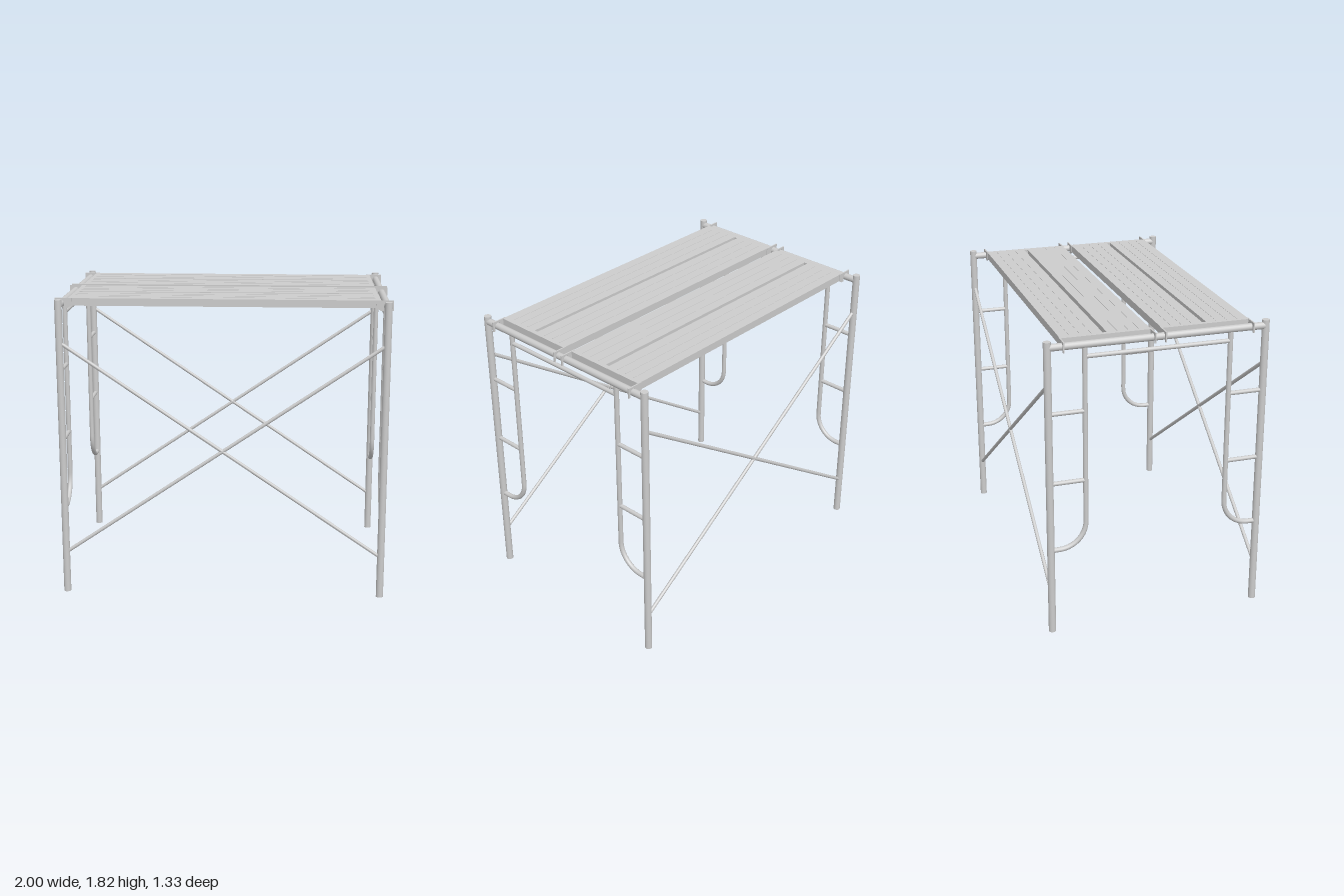
import * as THREE from 'three';

const material = new THREE.MeshStandardMaterial({ color: 0xcccccc });
const thin = new THREE.MeshStandardMaterial({ color: 0xcccccc, side: THREE.DoubleSide });
const POST_X = 0.965, POST_Z = 0.643, TOP = 1.82;
const V = (x, y, z) => new THREE.Vector3(x, y, z);

function add(parent, name, geometry, mat = material) {
  const mesh = new THREE.Mesh(geometry, mat);
  mesh.name = name;
  parent.add(mesh);
  return mesh;
}

// Straight round tube between two points
function pipe(parent, name, a, b, radius, sides = 16) {
  const mesh = add(parent, name, new THREE.CylinderGeometry(radius, radius, a.distanceTo(b), sides));
  mesh.position.copy(a).add(b).multiplyScalar(0.5);
  mesh.quaternion.setFromUnitVectors(V(0, 1, 0), b.clone().sub(a).normalize());
  return mesh;
}

function box(parent, name, w, h, d, x, y, z) {
  const mesh = add(parent, name, new THREE.BoxGeometry(w, h, d));
  mesh.position.set(x, y, z);
  return mesh;
}

// Inner leg: straight down, then a quarter bend out to the post
function innerLegGeometry(side) {
  const path = new THREE.CurvePath();
  const r = 0.16, k = r * 0.5523, z = 0.43, y = 0.54;
  path.add(new THREE.LineCurve3(V(0, 1.785, side * z), V(0, y + r, side * z)));
  path.add(new THREE.CubicBezierCurve3(
    V(0, y + r, side * z), V(0, y + r - k, side * z),
    V(0, y, side * (z + r - k)), V(0, y, side * (z + r))));
  path.add(new THREE.LineCurve3(V(0, y, side * (z + r)), V(0, y, side * POST_Z)));
  return new THREE.TubeGeometry(path, 90, 0.015, 12);
}

// End frame: two posts, cross beams, ladder legs and rungs
function endFrame(x) {
  const frame = new THREE.Group();
  frame.name = 'endFrame';
  frame.position.x = x;
  pipe(frame, 'topBeam', V(0, 1.785, -POST_Z), V(0, 1.785, POST_Z), 0.021);
  pipe(frame, 'lowerBeam', V(0, 1.715, -0.43), V(0, 1.715, 0.43), 0.013);
  for (const s of [-1, 1]) {
    pipe(frame, 'post', V(0, 0, s * POST_Z), V(0, TOP, s * POST_Z), 0.022, 20);
    add(frame, 'innerLeg', innerLegGeometry(s));
    for (const y of [0.966, 1.393])
      pipe(frame, 'rung', V(0, y, s * 0.43), V(0, y, s * POST_Z), 0.013, 12);
  }
  return frame;
}

// Hook plate with a round notch that sits over the top beam, pointing to +x
function hookGeometry() {
  const s = new THREE.Shape();
  s.moveTo(0.9, 1.772);
  s.lineTo(0.925, 1.757);
  s.lineTo(0.943, 1.757);
  s.lineTo(0.943, 1.785);
  s.absarc(POST_X, 1.785, 0.022, Math.PI, 0, true);
  s.lineTo(0.987, 1.757);
  s.lineTo(1, 1.757);
  s.lineTo(1, 1.818);
  s.lineTo(0.9, 1.818);
  s.closePath();
  const g = new THREE.ExtrudeGeometry(s, { depth: 0.008, bevelEnabled: false, curveSegments: 12 });
  return g.translate(0, 0, -0.004);
}

// Plank: slotted sheet, folded side skirts and lips, end channels, hooks
function plank(z) {
  const g = new THREE.Group();
  g.name = 'plank';
  g.position.z = z;
  const half = 0.263, length = 1.845, slotX = 0.895, slotZ = 0.012;

  const sheet = new THREE.Shape();
  sheet.moveTo(-length / 2, -half);
  sheet.lineTo(length / 2, -half);
  sheet.lineTo(length / 2, half);
  sheet.lineTo(-length / 2, half);
  sheet.closePath();
  const slot = new THREE.Path();
  slot.moveTo(-slotX, -slotZ);
  slot.lineTo(-slotX, slotZ);
  slot.lineTo(slotX, slotZ);
  slot.lineTo(slotX, -slotZ);
  slot.closePath();
  sheet.holes.push(slot);
  const sheetGeo = new THREE.ExtrudeGeometry(sheet, { depth: 0.005, bevelEnabled: false });
  sheetGeo.rotateX(-Math.PI / 2).translate(0, 1.812, 0);
  add(g, 'deckSheet', sheetGeo, thin);

  for (const s of [-1, 1]) {
    box(g, 'sideSkirt', length, 0.045, 0.005, 0, 1.7945, s * (half - 0.0025));
    box(g, 'sideLip', length, 0.004, 0.035, 0, 1.774, s * (half - 0.0175));
    box(g, 'slotSkirt', slotX * 2, 0.04, 0.004, 0, 1.792, s * (slotZ + 0.002));
    box(g, 'slotLip', slotX * 2, 0.004, 0.022, 0, 1.774, s * (slotZ + 0.011));
    box(g, 'endSkirt', 0.005, 0.045, half * 2, s * (length / 2 - 0.0025), 1.7945, 0);
    box(g, 'endLip', 0.025, 0.004, half * 2, s * (length / 2 - 0.0125), 1.774, 0);
    // Shallow grip ribs
    for (const rz of [0.075, 0.138, 0.2])
      box(g, 'gripRib', slotX * 2, 0.002, 0.005, 0, 1.8175, s * rz);
    for (const end of [0, Math.PI]) {
      const hook = add(g, 'hook', hookGeometry());
      hook.rotation.y = end;
      hook.position.z = s * half;
    }
  }
  return g;
}

export function createModel() {
  const model = new THREE.Group();
  model.name = 'scaffold';
  for (const s of [-1, 1]) {
    model.add(endFrame(s * POST_X));
    model.add(plank(s * 0.294));
    // Crossed braces on the long sides
    for (const d of [-1, 1])
      pipe(model, 'crossBrace', V(-d * 0.955, 1.56, s * POST_Z), V(d * 0.955, 0.26, s * POST_Z), 0.011, 12);
  }
  return model;
}
